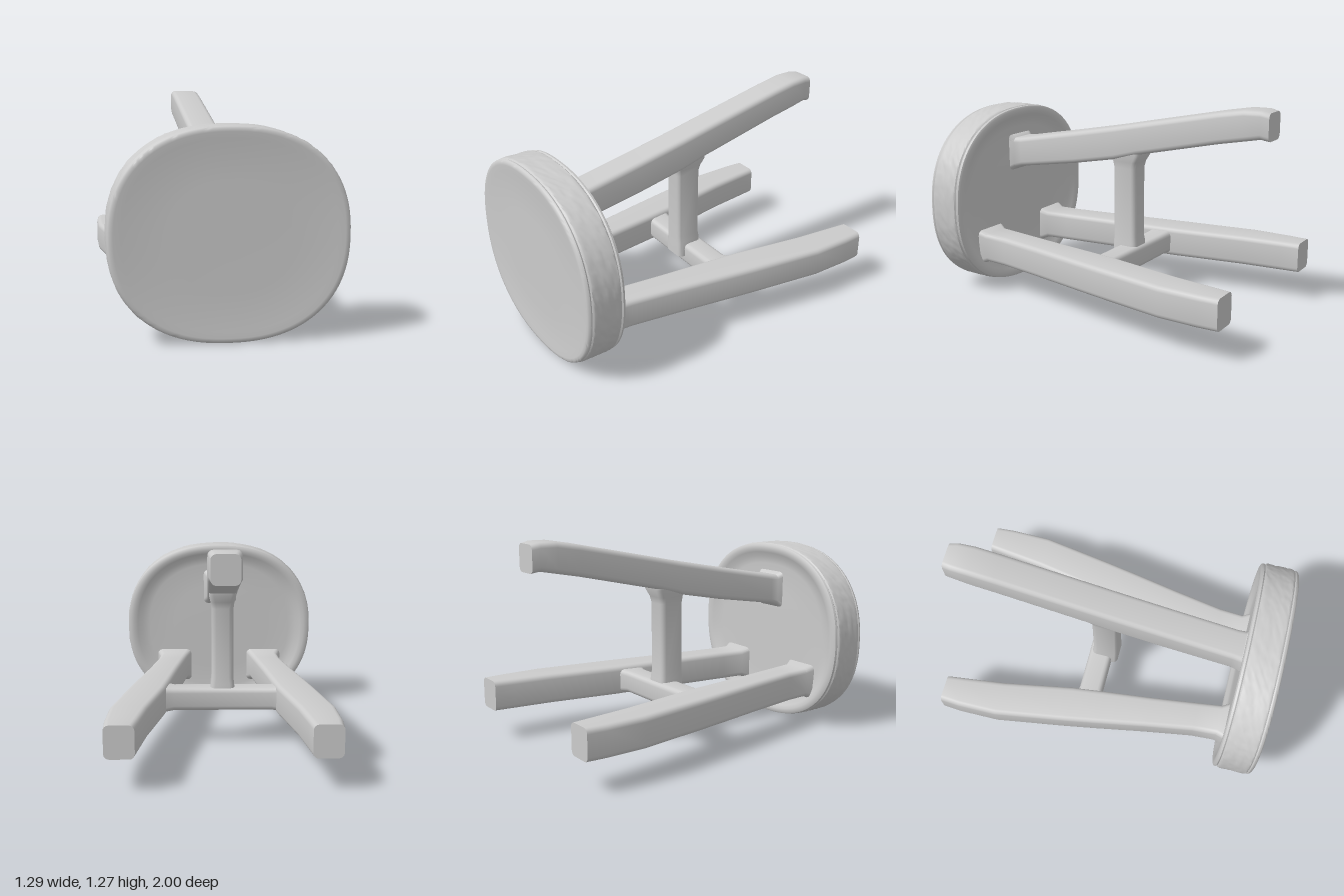
import * as THREE from 'three';
import { toCreasedNormals } from 'three/addons/utils/BufferGeometryUtils.js';

const material = new THREE.MeshStandardMaterial({ color: 0xcccccc, roughness: 0.8 });

// Skin a list of closed rings (counter-clockwise about the travel direction) and cap both ends.
function loft(name, rings) {
  const n = rings[0].length, pos = [], index = [];
  rings.forEach(r => r.forEach(p => pos.push(p.x, p.y, p.z)));
  for (let j = 0; j < rings.length - 1; j++) {
    for (let i = 0; i < n; i++) {
      const a = j * n + i, b = j * n + (i + 1) % n;
      index.push(a, b, b + n, a, b + n, a + n);
    }
  }
  [0, rings.length - 1].forEach((j, end) => {
    const c = new THREE.Vector3();
    rings[j].forEach(p => c.addScaledVector(p, 1 / n));
    const centre = pos.length / 3;
    pos.push(c.x, c.y, c.z);
    for (let i = 0; i < n; i++) {
      const a = j * n + i, b = j * n + (i + 1) % n;
      if (end) index.push(a, b, centre); else index.push(b, a, centre);
    }
  });
  const g = new THREE.BufferGeometry();
  g.setAttribute('position', new THREE.Float32BufferAttribute(pos, 3));
  g.setIndex(index);
  const mesh = new THREE.Mesh(toCreasedNormals(g, 0.65), material);
  mesh.name = name;
  return mesh;
}

// Rounded-rectangle beam; each station is [t, u0, u1, v0, v1], map places (u, v, t) in space.
function beam(name, stations, map, radius = 0.03) {
  const rings = stations.map(([t, u0, u1, v0, v1]) => {
    const ring = [];
    const corners = [[u1, v1, -1, -1], [u0, v1, 1, -1], [u0, v0, 1, 1], [u1, v0, -1, 1]];
    corners.forEach(([u, v, su, sv], k) => {
      for (let s = 0; s <= 4; s++) {
        const a = (k + s / 4) * Math.PI / 2;
        ring.push(map(u + radius * (su + Math.cos(a)), v + radius * (sv + Math.sin(a)), t));
      }
    });
    return ring;
  });
  return loft(name, rings);
}

const alongZ = (u, v, t) => new THREE.Vector3(u, v, t);
const alongY = (u, v, t) => new THREE.Vector3(v, t, u);
const alongX = (u, v, t) => new THREE.Vector3(t, u, v);

// Repeatable value in -1..1 for the rough rim
const hash = (i, j) => {
  const s = Math.sin(i * 127.1 + j * 311.7) * 43758.5453;
  return 2 * (s - Math.floor(s)) - 1;
};

// Rounded seat slab: [outline scale, z, roughness] from the back face to the front face
function seat() {
  const profile = [
    [0.5, 0.795, 0], [0.76, 0.797, 0], [0.84, 0.79, 0], [0.89, 0.773, 0], [0.93, 0.765, 0],
    [0.965, 0.766, 0], [0.985, 0.773, 0], [0.99, 0.785, 0], [0.98, 0.793, 0], [0.992, 0.8, 0]
  ];
  for (let z = 0.81; z < 0.965; z += 0.015) profile.push([0.994, z, 0.004]);
  profile.push([0.992, 0.967, 0], [0.982, 0.974, 0], [0.988, 0.982, 0], [0.983, 0.992, 0],
    [0.968, 0.999, 0], [0.94, 1, 0], [0.88, 0.994, 0], [0.5, 0.992, 0]);
  const N = 160, e = 2 / 2.3;
  const power = v => Math.sign(v) * Math.abs(v) ** e;
  const rings = profile.map(([scale, z, rough], j) => {
    const ring = [];
    for (let i = 0; i < N; i++) {
      const a = i / N * Math.PI * 2;
      const s = scale + rough * hash(i, j);
      ring.push(new THREE.Vector3(
        0.645 * s * power(Math.cos(a)),
        0.58 + Math.max(-0.568, 0.575 * s * power(Math.sin(a))), z));
    }
    return ring;
  });
  return loft('seat', rings);
}

export function createModel() {
  const group = new THREE.Group();
  group.name = 'stool';
  group.add(seat());

  // Upper leg, rising toward its foot
  group.add(beam('upperLeg', [
    [-1, -0.085, 0.07, 1.11, 1.27], [-0.95, -0.095, 0.08, 1.12, 1.28],
    [-0.85, -0.1, 0.085, 1.138, 1.277], [-0.7, -0.1, 0.085, 1.07, 1.25],
    [-0.16, -0.1, 0.085, 0.945, 1.135], [0, -0.1, 0.085, 0.9, 1.1],
    [0.3, -0.1, 0.085, 0.84, 1.04], [0.72, -0.1, 0.085, 0.77, 0.96],
    [0.77, -0.105, 0.09, 0.755, 0.955], [0.8, -0.125, 0.11, 0.735, 0.975], [0.85, -0.125, 0.11, 0.735, 0.975]
  ].map(s => s[0] === -0.85 ? [s[0], s[1], s[2], 1.1, s[4]] : s), alongZ));

  // Splayed lower pair: [z, inner x, outer x]
  const splay = [
    [-1, 0.465, 0.63], [-0.88, 0.45, 0.638], [-0.64, 0.42, 0.635], [-0.2, 0.34, 0.565],
    [0, 0.315, 0.53], [0.3, 0.28, 0.475], [0.6, 0.24, 0.425], [0.75, 0.22, 0.415],
    [0.8, 0.195, 0.435], [0.85, 0.195, 0.435]
  ];
  for (const side of [1, -1]) {
    group.add(beam(side > 0 ? 'lowerLegLeft' : 'lowerLegRight', splay.map(([z, a, b]) => {
      const flare = z > 0.78 ? 0.02 : 0;
      return [z, side > 0 ? a : -b, side > 0 ? b : -a, 0.2 - flare, 0.385 + flare];
    }), alongZ));
  }

  // Crossbar between the lower legs, slightly flared at the joints
  group.add(beam('crossbar', [
    [-0.42, 0.21, 0.37, -0.19, 0], [-0.36, 0.215, 0.365, -0.175, -0.01],
    [-0.31, 0.22, 0.36, -0.165, -0.02], [0.29, 0.22, 0.36, -0.165, -0.02],
    [0.34, 0.215, 0.365, -0.185, 0], [0.42, 0.21, 0.37, -0.2, 0.02]
  ], alongX));

  // Upright strut from the crossbar to the upper leg
  group.add(beam('strut', [
    [0.28, -0.15, 0.02, -0.085, 0.07], [0.38, -0.145, 0.02, -0.08, 0.065],
    [0.42, -0.14, 0.02, -0.075, 0.06], [0.85, -0.14, 0.02, -0.075, 0.06],
    [0.89, -0.15, 0.025, -0.08, 0.065], [0.935, -0.175, 0.045, -0.09, 0.075], [0.98, -0.175, 0.045, -0.09, 0.075]
  ], alongY));

  return group;
}
